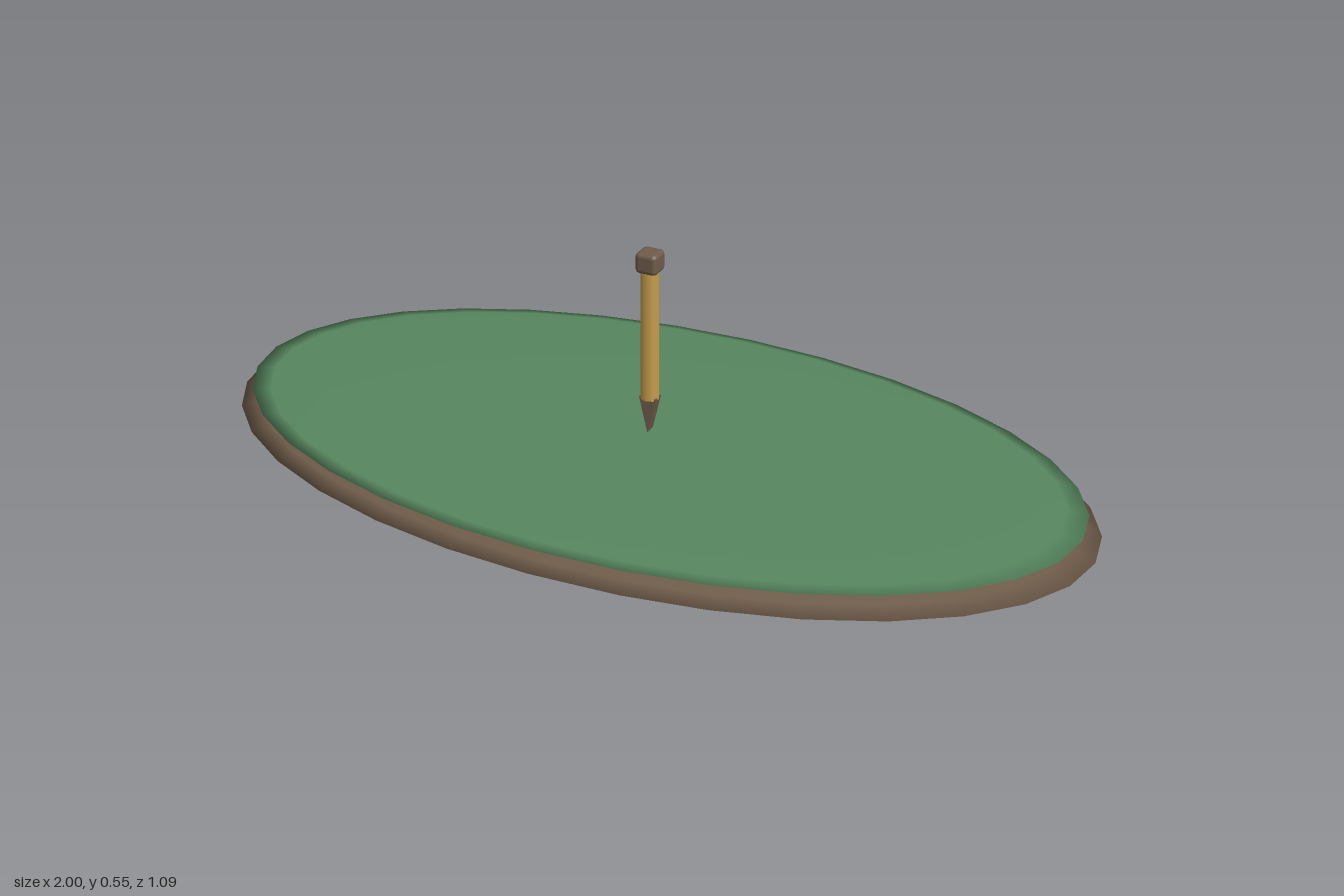
import * as THREE from 'three';
import { RoundedBoxGeometry } from 'three/addons/geometries/RoundedBoxGeometry.js';

function material(name, color) {
  const m = new THREE.MeshStandardMaterial({ color });
  m.name = name;
  return m;
}

export function createModel() {
  const group = new THREE.Group();
  const brown = material('brown', 0x6f5c4a);
  const green = material('green', 0x57875f);
  const tan = material('tan', 0xc69f4e);

  const add = (name, geometry, mat, y) => {
    const mesh = new THREE.Mesh(geometry, mat);
    mesh.name = name;
    mesh.position.y = y;
    group.add(mesh);
    return mesh;
  };

  // Flattened oval base and the thinner oval lying on it
  const disc = (rx, ry, rz) => new THREE.SphereGeometry(1, 32, 10).scale(rx, ry, rz);
  add('base', disc(1, 0.06, 0.545), brown, 0.06);
  add('greenTop', disc(0.97, 0.018, 0.525), green, 0.104);

  // Upright peg
  add('shaft', new THREE.CylinderGeometry(0.021, 0.021, 0.305, 8), tan, 0.3525);
  add('cap', new RoundedBoxGeometry(0.05, 0.047, 0.05, 2, 0.01), brown, 0.5215);

  // Wedge-shaped point, tapering across x only
  const wedge = new THREE.Shape([
    new THREE.Vector2(-0.02, 0.085),
    new THREE.Vector2(0, 0),
    new THREE.Vector2(0.02, 0.085),
  ]);
  const tip = new THREE.ExtrudeGeometry(wedge, { depth: 0.026, bevelEnabled: false });
  add('tip', tip.translate(0, 0, -0.013), brown, 0.12);

  return group;
}
